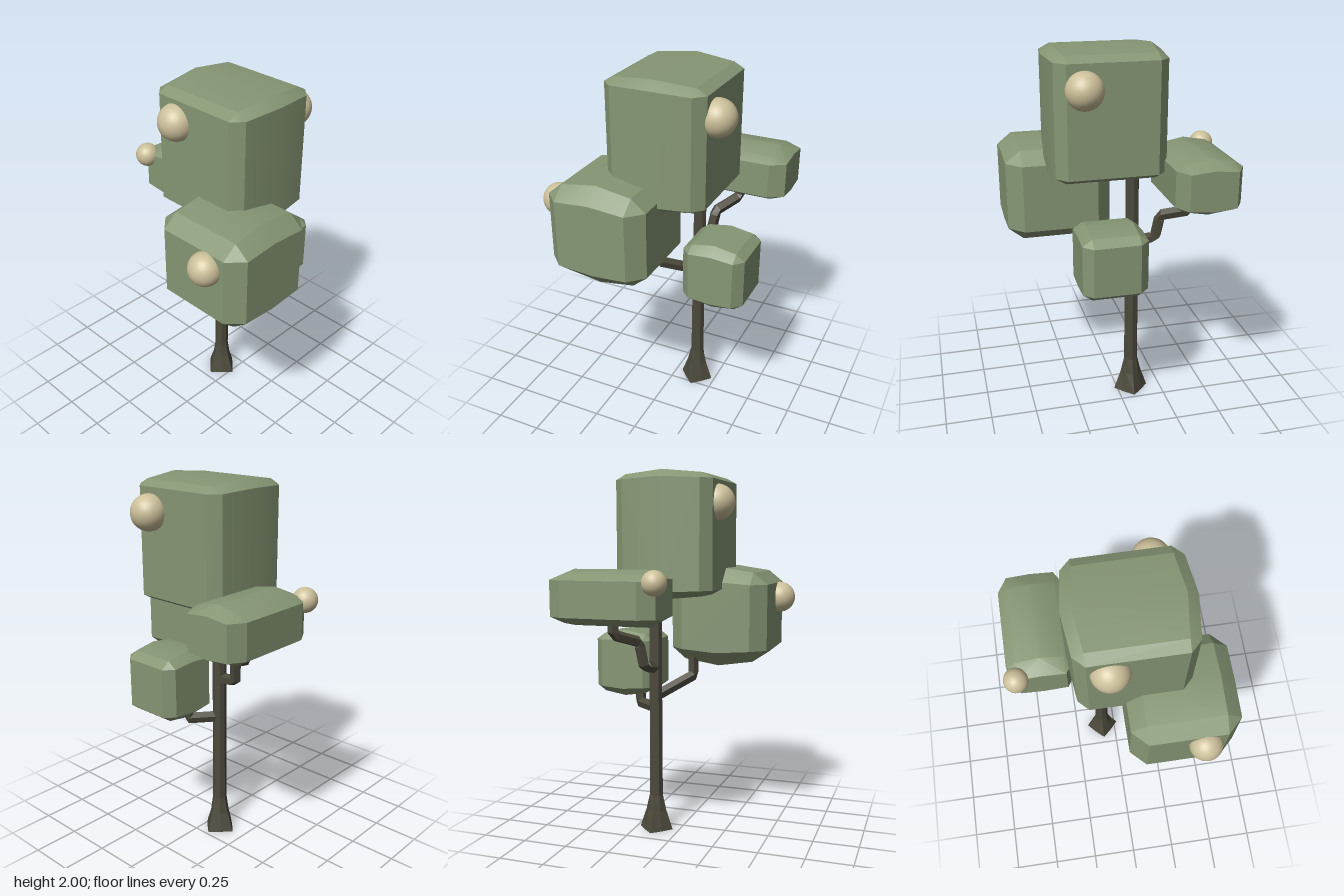
import * as THREE from 'three';
import { toCreasedNormals } from 'three/addons/utils/BufferGeometryUtils.js';
import { ConvexGeometry } from 'three/addons/geometries/ConvexGeometry.js';

const bark = new THREE.MeshStandardMaterial({ color: 0x4d4a3c, flatShading: true });
const leaf = new THREE.MeshStandardMaterial({ color: 0x869674 });
const fruit = new THREE.MeshStandardMaterial({ color: 0xccc09a });

const TRUNK_X = -0.08, TRUNK_Z = -0.135;

// Chamfered block, bulging toward the middle of its length (local z).
// All sizes are half extents: wide and high at the middle, wideEnd and highEnd
// where the end chamfer starts; chamfers are [along x, y, z].
function foliageGeometry({ long, wide, wideEnd, high, highEnd, chamfer: [cx, cy, cz] }) {
  const points = [];
  const flatY = highEnd - cy;
  for (const sx of [-1, 1]) for (const sy of [-1, 1]) {
    const add = (x, y, z) => points.push(new THREE.Vector3(sx * x, sy * y, z));
    for (const sz of [-1, 1]) {
      add(wideEnd - cx, flatY, sz * long);
      add(wideEnd, flatY, sz * (long - cz));
      add(wideEnd - cx, highEnd, sz * (long - cz));
    }
    add(wide, flatY + (high - highEnd) * 0.5, 0);
    add(wide - cx, high, 0);
  }
  return toCreasedNormals(new ConvexGeometry(points), 0.4);
}

function createTrunk() {
  const profile = [[0, 0], [0.098, 0], [0.06, 0.11], [0.039, 0.2], [0.036, 1.4], [0, 1.4]]
    .map(([r, y]) => new THREE.Vector2(r, y));
  const geometry = new THREE.LatheGeometry(profile, 8);
  // Pinch every other side of the flare to form roots.
  const pos = geometry.attributes.position;
  for (let i = 0; i < pos.count; i++) {
    const side = Math.floor(i / profile.length);
    const y = pos.getY(i);
    if (side % 2 && y < 0.19) {
      const k = y < 0.05 ? 0.74 : 0.85;
      pos.setX(i, pos.getX(i) * k);
      pos.setZ(i, pos.getZ(i) * k);
    }
  }
  const trunk = new THREE.Mesh(geometry, bark);
  trunk.name = 'trunk';
  trunk.position.set(TRUNK_X, 0, TRUNK_Z);
  return trunk;
}

// Angular branch that starts inside the trunk and ends inside a foliage block.
function createBranch(name, startY, path) {
  const points = [[TRUNK_X, startY, TRUNK_Z], ...path].map(p => new THREE.Vector3(...p));
  const curve = new THREE.CatmullRomCurve3(points, false, 'catmullrom', 0);
  const branch = new THREE.Mesh(new THREE.TubeGeometry(curve, 16, 0.031, 5), bark);
  branch.name = name;
  return branch;
}

export function createModel() {
  const tree = new THREE.Group();
  tree.name = 'tree';
  tree.add(createTrunk());

  // Branches
  tree.add(
    createBranch('rightBranch', 0.93, [
      [-0.21, 0.955, -0.15], [-0.23, 1.09, -0.17], [-0.37, 1.14, -0.26], [-0.37, 1.26, -0.26]]),
    createBranch('frontBranch', 0.77, [[0.085, 0.87, 0.03], [0.085, 1.02, 0.03]]),
    createBranch('backBranch', 0.705, [[0.03, 0.705, -0.27], [0.03, 0.84, -0.27]]),
  );

  // Foliage blocks
  const blocks = [
    { name: 'topFoliage', at: [0.065, 1.66, -0.052], long: 0.27, wide: 0.315, wideEnd: 0.29,
      high: 0.34, highEnd: 0.32, chamfer: [0.055, 0.03, 0.055] },
    { name: 'frontFoliage', at: [0.297, 1.21, 0.178], long: 0.275, wide: 0.281, wideEnd: 0.281,
      high: 0.277, highEnd: 0.247, chamfer: [0.08, 0.065, 0.08] },
    { name: 'backFoliage', at: [0.093, 0.94, -0.34], long: 0.172, wide: 0.172, wideEnd: 0.172,
      high: 0.188, highEnd: 0.168, chamfer: [0.05, 0.035, 0.048] },
    { name: 'rightFoliage', at: [-0.385, 1.337, -0.262], long: 0.175, wide: 0.292, wideEnd: 0.292,
      high: 0.148, highEnd: 0.125, chamfer: [0.083, 0.03, 0.05], turned: true },
  ];
  for (const b of blocks) {
    const mesh = new THREE.Mesh(foliageGeometry(b), leaf);
    mesh.name = b.name;
    mesh.position.set(...b.at);
    if (b.turned) mesh.rotation.y = Math.PI / 2;
    tree.add(mesh);
  }

  // Round fruits half sunk into the foliage
  const fruits = [
    ['topFrontFruit', 0.096, [-0.06, 1.832, 0.21]],
    ['topBackFruit', 0.096, [0.216, 1.823, -0.342]],
    ['frontFruit', 0.087, [0.388, 1.308, 0.462]],
    ['rightFruit', 0.065, [-0.517, 1.424, 0.025]],
  ];
  for (const [name, radius, at] of fruits) {
    const mesh = new THREE.Mesh(new THREE.SphereGeometry(radius, 32, 20), fruit);
    mesh.name = name;
    mesh.position.set(...at);
    tree.add(mesh);
  }
  return tree;
}
